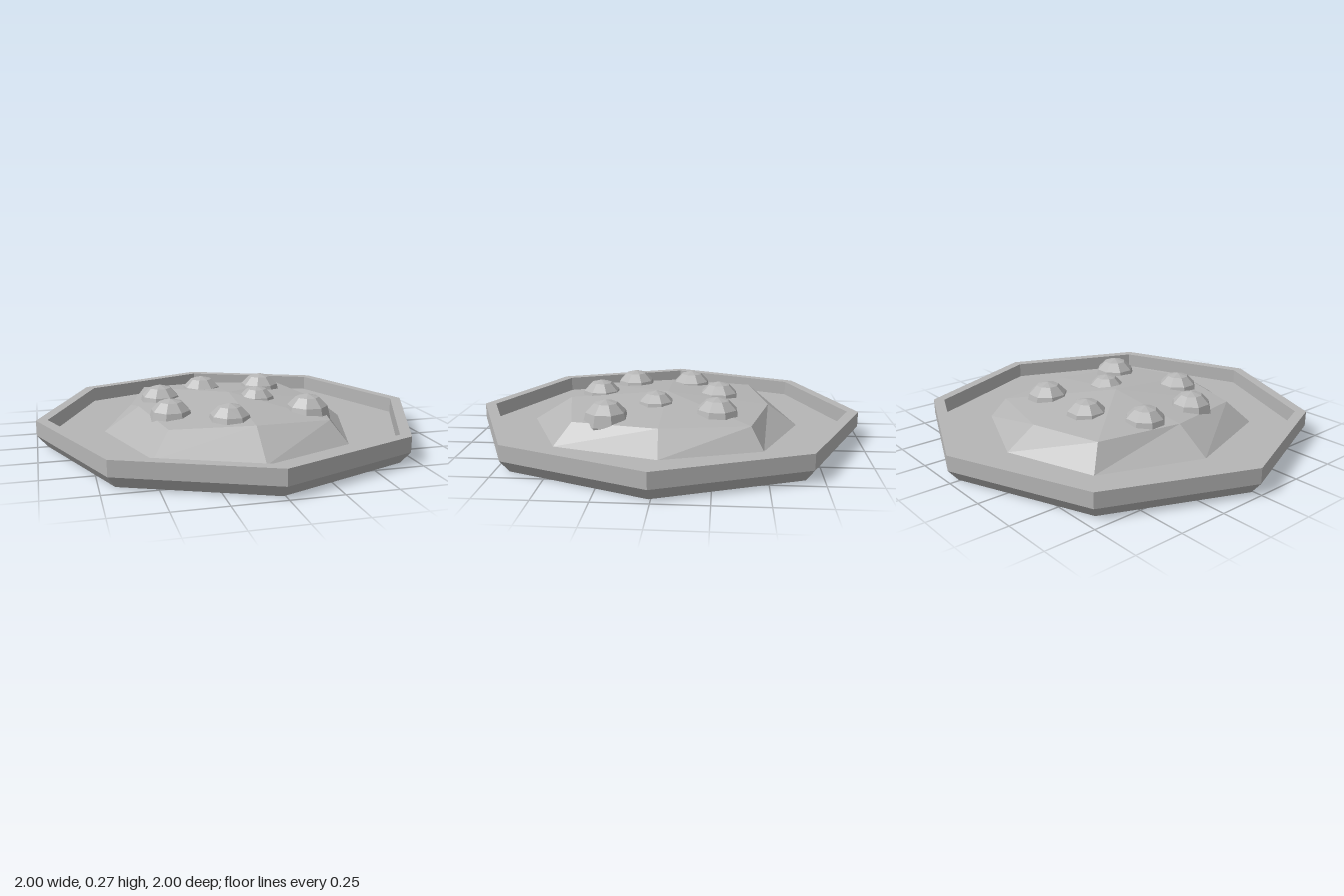
import * as THREE from 'three';

const stone = new THREE.MeshStandardMaterial({ color: 0xb5b5b5, flatShading: true });
stone.name = 'grey stone';

function addMesh(group, geometry, name) {
  const mesh = new THREE.Mesh(geometry, stone);
  mesh.name = name;
  group.add(mesh);
  return mesh;
}

// Octagonal tray: chamfered underside, upright rim and recessed floor
function trayGeometry() {
  const profile = [[0, 0], [0.95, 0], [1, 0.06], [1, 0.138], [0.942, 0.138], [0.942, 0.06], [0, 0.06]];
  return new THREE.LatheGeometry(profile.map(([r, y]) => new THREE.Vector2(r, y)), 8, -0.01);
}

// Uneven mound: a base ring, a shoulder ring and a low peak
function moundGeometry() {
  const base = [[0.63, 0], [0.47, 0.52], [-0.01, 0.72], [-0.49, 0.52], [-0.66, 0], [-0.46, -0.52], [0.01, -0.68], [0.47, -0.49]]
    .map(([x, z]) => [x, 0.06, z]);
  const shoulder = [
    [0.49, 0.167, 0.01], [0.4, 0.165, 0.44], [0, 0.187, 0.52], [-0.4, 0.17, 0.43],
    [-0.48, 0.182, 0], [-0.39, 0.18, -0.44], [0, 0.168, -0.53], [0.41, 0.165, -0.43],
  ];
  const peak = [0, 0.23, 0];
  const positions = [];
  for (let i = 0; i < 8; i++) {
    const j = (i + 1) % 8;
    positions.push(
      ...base[i], ...shoulder[i], ...base[j],
      ...base[j], ...shoulder[i], ...shoulder[j],
      ...shoulder[i], ...peak, ...shoulder[j],
    );
  }
  const geometry = new THREE.BufferGeometry();
  geometry.setAttribute('position', new THREE.Float32BufferAttribute(positions, 3));
  geometry.computeVertexNormals();
  return geometry;
}

export function createModel() {
  const group = new THREE.Group();
  group.name = 'pebble tray';
  addMesh(group, trayGeometry(), 'tray');
  addMesh(group, moundGeometry(), 'mound');

  // Faceted domes partly sunk into the mound: x, z, radius
  const domes = [
    [-0.09, -0.27, 0.113], [0.25, -0.265, 0.117], [-0.35, -0.11, 0.113], [0.14, 0.05, 0.102],
    [-0.35, 0.21, 0.113], [-0.09, 0.37, 0.112], [0.34, 0.28, 0.118],
  ];
  for (const [x, z, r] of domes) {
    const geometry = new THREE.SphereGeometry(r, 8, 4, 0, Math.PI * 2, 0, Math.PI * 2 / 3);
    const dome = addMesh(group, geometry, 'dome');
    dome.position.set(x, 0.266 - r, z);
    dome.rotation.y = Math.PI / 8;
  }
  return group;
}
